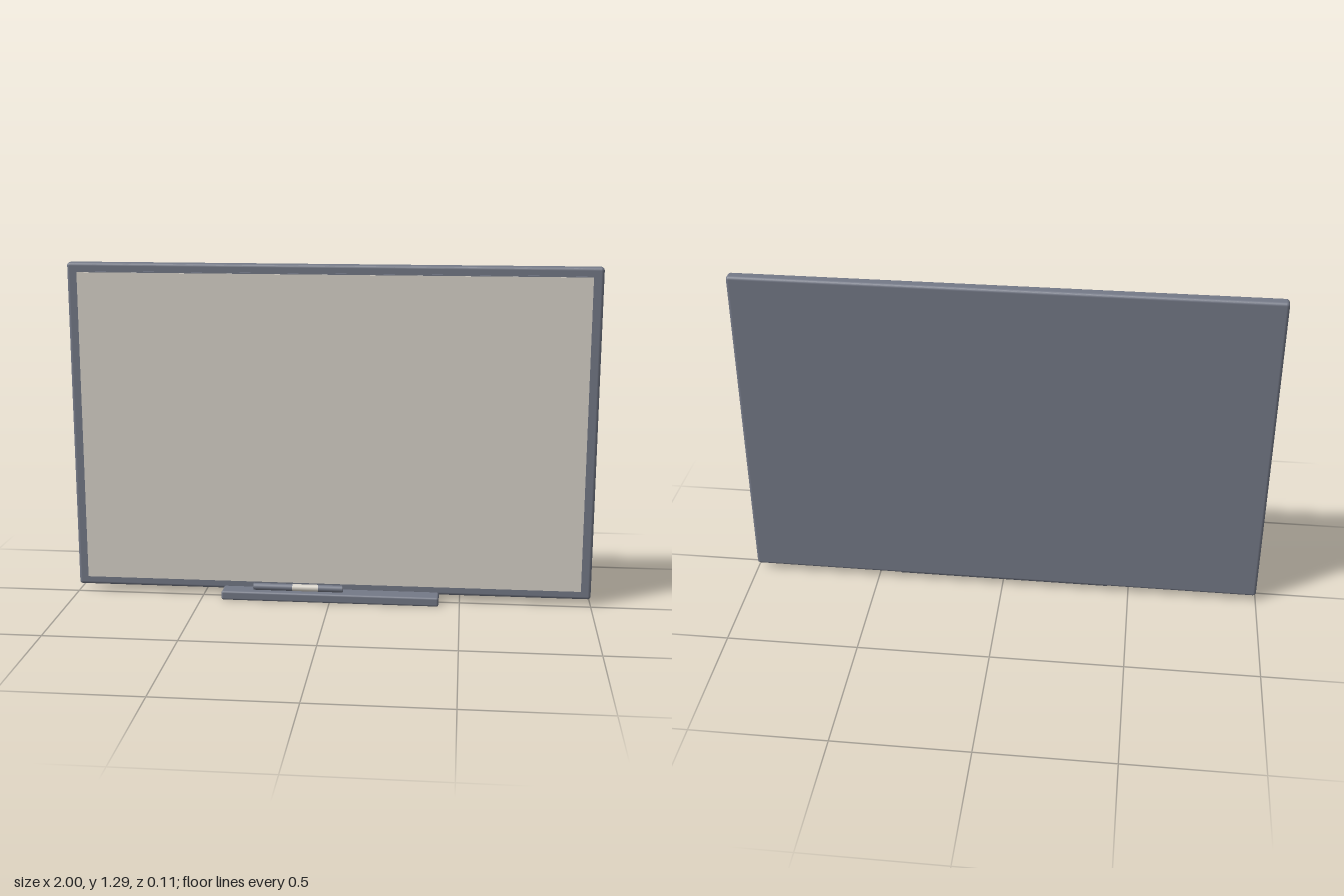
import * as THREE from 'three';
import { RoundedBoxGeometry } from 'three/addons/geometries/RoundedBoxGeometry.js';

export function createModel() {
  const board = new THREE.Group();
  board.name = 'wallBoard';

  const slate = new THREE.MeshStandardMaterial({ color: 0x747987 });
  slate.name = 'slateGrey';
  const cream = new THREE.MeshStandardMaterial({ color: 0xd9d4ca });
  cream.name = 'warmWhite';

  const add = (name, geometry, material, x, y, z) => {
    const mesh = new THREE.Mesh(geometry, material);
    mesh.name = name;
    mesh.position.set(x, y, z);
    board.add(mesh);
    return mesh;
  };

  // Housing with softly rounded edges
  add('housing', new RoundedBoxGeometry(2, 1.27, 0.047, 3, 0.012), slate, 0, 0.66, -0.0325);

  // Raised panel: grey backing with a thin writing surface on its face
  add('panelBacking', new THREE.BoxGeometry(1.93, 1.208, 0.006), slate, 0, 0.659, -0.008);
  add('writingSurface', new THREE.BoxGeometry(1.922, 1.2, 0.002), cream, 0, 0.659, -0.004);

  // Pen tray below the front edge
  add('penTray', new RoundedBoxGeometry(0.84, 0.036, 0.081, 3, 0.008), slate, 0, 0.018, 0.0165);

  // Pen lying on the tray: two grey ends and a pale grip
  const penPart = (name, x0, x1, radius, material) => {
    const geometry = new THREE.CylinderGeometry(radius, radius, x1 - x0, 24).rotateZ(Math.PI / 2);
    add(name, geometry, material, (x0 + x1) / 2, 0.05, 0.027);
  };
  penPart('penLeftEnd', -0.045, 0.05, 0.0135, slate);
  penPart('penGrip', -0.145, -0.045, 0.0135, cream);
  penPart('penRightEnd', -0.297, -0.145, 0.0135, slate);

  return board;
}
